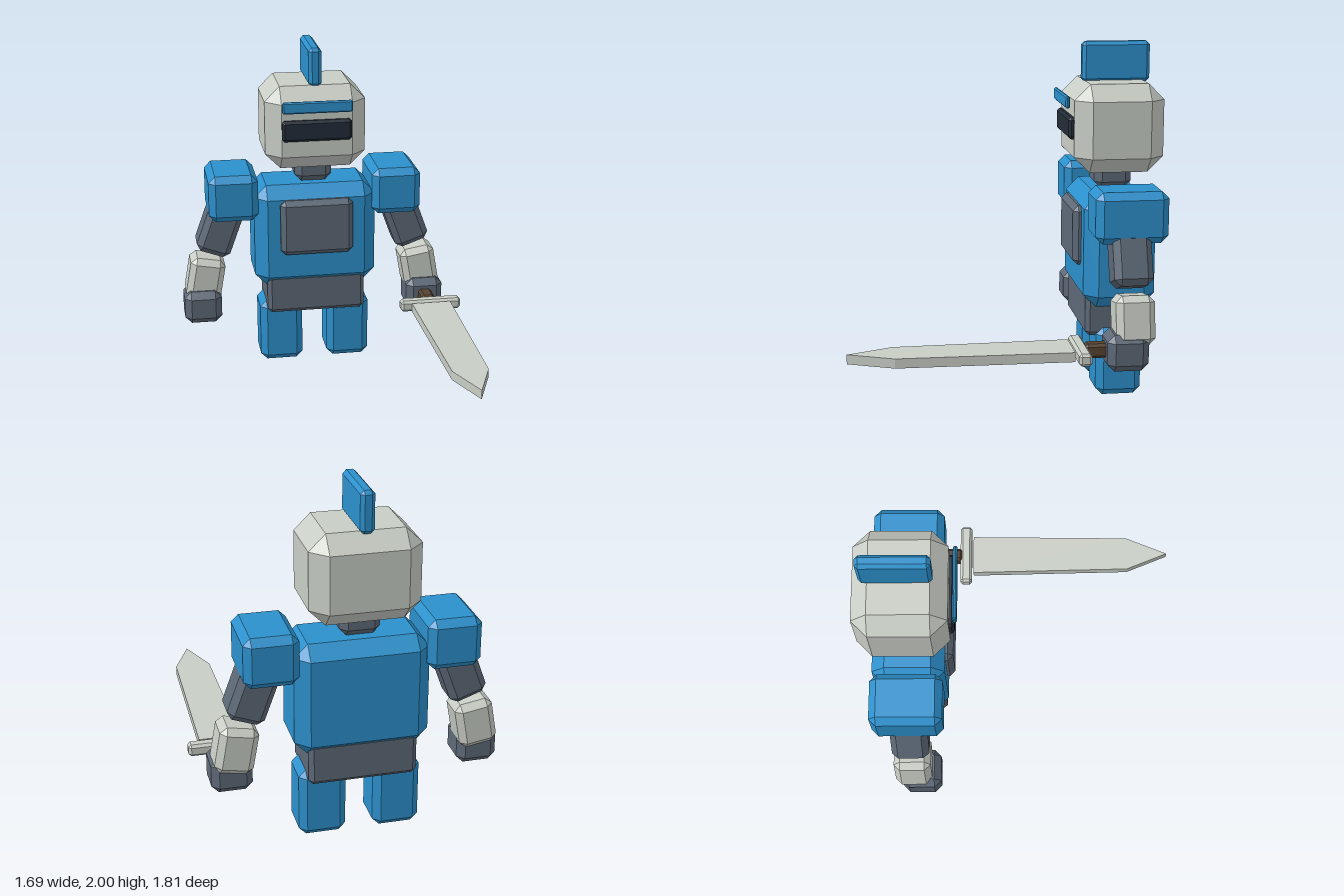
import * as THREE from 'three';
import { ConvexGeometry } from 'three/addons/geometries/ConvexGeometry.js';

const material = (name, color) => {
  const m = new THREE.MeshStandardMaterial({ color });
  m.name = name;
  return m;
};

// Box with chamfered edges and corners
function chamferBox(w, h, d, c) {
  const points = [];
  for (const x of [-1, 1]) for (const y of [-1, 1]) for (const z of [-1, 1]) {
    for (let axis = 0; axis < 3; axis++) {
      const inset = [c, c, c];
      inset[axis] = 0;
      points.push(new THREE.Vector3(
        x * (w / 2 - inset[0]), y * (h / 2 - inset[1]), z * (d / 2 - inset[2])));
    }
  }
  return new ConvexGeometry(points);
}

export function createModel() {
  const model = new THREE.Group();
  model.name = 'robotKnight';

  const blue = material('armourBlue', 0x2c90cc);
  const light = material('lightGrey', 0xc8cdc5);
  const dark = material('slateGrey', 0x5d6977);
  const black = material('visorBlack', 0x222c38);
  const brown = material('gripBrown', 0x57432f);

  const add = (name, geometry, mat) => {
    const mesh = new THREE.Mesh(geometry, mat);
    mesh.name = name;
    model.add(mesh);
    return mesh;
  };
  // Chamfered block given by its extents along x, y and z
  const block = (name, mat, [x0, x1], [y0, y1], [z0, z1], c) => {
    const mesh = add(name, chamferBox(x1 - x0, y1 - y0, z1 - z0, c), mat);
    mesh.position.set((x0 + x1) / 2, (y0 + y1) / 2, (z0 + z1) / 2);
    return mesh;
  };

  // Head
  block('head', light, [-0.34, 0.26], [1.28, 1.78], [-0.91, -0.4], 0.09);
  block('crest', blue, [-0.077, 0], [1.77, 2], [-0.865, -0.475], 0.02);
  block('brow', blue, [-0.25, 0.165], [1.645, 1.715], [-0.376, -0.352], 0.008);
  block('visor', black, [-0.25, 0.165], [1.47, 1.595], [-0.42, -0.37], 0.015);
  block('neck', dark, [-0.152, 0.072], [1.165, 1.34], [-0.757, -0.543], 0.04);

  // Body
  block('torso', blue, [-0.41, 0.33], [0.52, 1.165], [-0.855, -0.445], 0.075);
  block('chestPlate', dark, [-0.26, 0.18], [0.745, 1.09], [-0.48, -0.4], 0.03);
  block('belt', dark, [-0.34, 0.26], [0.35, 0.6], [-0.838, -0.462], 0.025);

  // Limbs, mirrored about the body's own centre line
  const mid = -0.04;
  for (const [side, s] of [['left', 1], ['right', -1]]) {
    const span = (centre, width) =>
      [mid + s * centre - width / 2, mid + s * centre + width / 2];
    block(side + 'Leg', blue, span(0.208, 0.262), [0, 0.4], [-0.783, -0.522], 0.04);
    block(side + 'Shoulder', blue, span(0.495, 0.297), [0.96, 1.245], [-0.853, -0.45], 0.04);
    block(side + 'UpperArm', dark, span(0.557, 0.215), [0.71, 1.13], [-0.757, -0.543], 0.036)
      .rotation.z = s * THREE.MathUtils.degToRad(20);
    block(side + 'Forearm', light, span(0.67, 0.215), [0.42, 0.69], [-0.757, -0.543], 0.036)
      .rotation.z = s * THREE.MathUtils.degToRad(10);
    block(side + 'Hand', dark, span(0.693, 0.227), [0.293, 0.497], [-0.72, -0.492], 0.04);
  }

  // Sword held forward in the left hand
  block('swordGrip', brown, [0.61, 0.69], [0.357, 0.437], [-0.56, -0.38], 0.015);
  block('swordGuard', light, [0.467, 0.84], [0.362, 0.432], [-0.392, -0.32], 0.015);
  const outline = new THREE.Shape([
    [0.53, -0.31], [0.77, -0.31], [0.755, 0.65], [0.65, 0.9], [0.548, 0.65],
  ].map(([x, z]) => new THREE.Vector2(x, z)));
  const blade = new THREE.ExtrudeGeometry(outline, { depth: 0.053, bevelEnabled: false });
  blade.rotateX(Math.PI / 2);
  add('swordBlade', blade, light).position.y = 0.423;

  return model;
}
